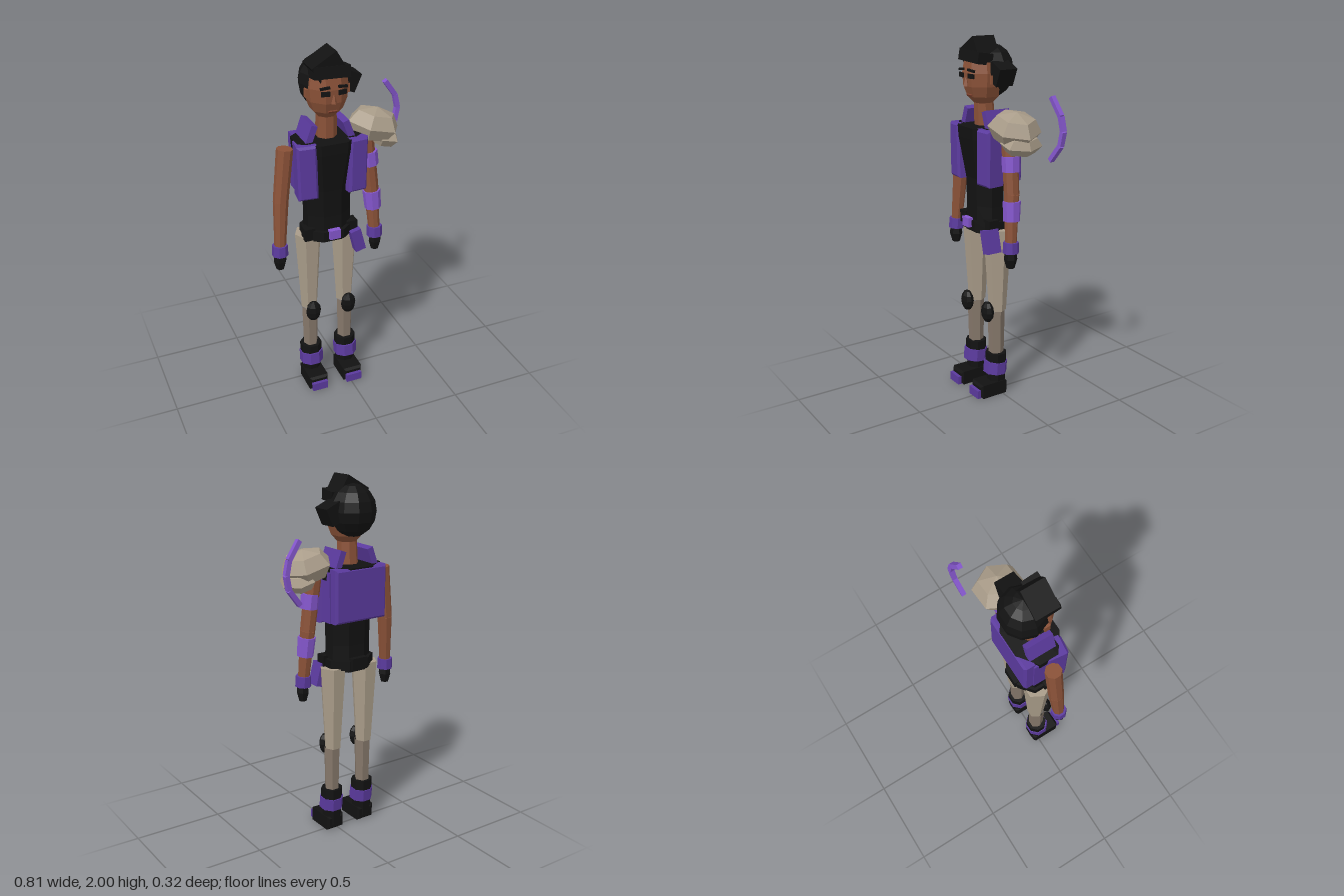
import * as THREE from 'three';

const mat = (name, color) => Object.assign(new THREE.MeshStandardMaterial({ color }), { name });
const V = (x, y, z) => new THREE.Vector3(x, y, z);
const CX = -0.09; // body midline

export function createModel() {
  const black = mat('black cloth', 0x121212);
  const purple = mat('purple', 0x5b3a9e);
  const violet = mat('bright violet', 0x8456cc);
  const skin = mat('skin', 0x8b5238);
  const lips = mat('lips', 0x7a3f2c);
  const beige = mat('beige', 0xa99c89);
  const shin = mat('dark beige', 0x85776a);

  const model = new THREE.Group();
  model.name = 'figure';

  // Faceted mesh with hard edges
  function add(name, geometry, material, pos = [0, 0, 0], rot = [0, 0, 0], scale = [1, 1, 1]) {
    const g = geometry.index ? geometry.toNonIndexed() : geometry;
    g.computeVertexNormals();
    const mesh = new THREE.Mesh(g, material);
    mesh.name = name;
    mesh.position.set(...pos);
    mesh.rotation.set(...rot);
    mesh.scale.set(...scale);
    model.add(mesh);
    return mesh;
  }
  const box = (name, m, size, pos, rot) => add(name, new THREE.BoxGeometry(...size), m, pos, rot);
  const ball = (name, m, radii, pos, rot, w = 8, h = 6) =>
    add(name, new THREE.SphereGeometry(1, w, h), m, pos, rot, radii);

  // Box with chamfered edges
  function padBox(name, m, [w, h, d], pos, rot) {
    const b = 0.012, x = w / 2 - b, y = h / 2 - b;
    const s = new THREE.Shape([[-x, -y], [x, -y], [x, y], [-x, y]].map(p => new THREE.Vector2(...p)));
    const g = new THREE.ExtrudeGeometry(s, {
      depth: d - 2 * b, bevelSize: b, bevelThickness: b, bevelSegments: 1,
    });
    g.translate(0, 0, b - d / 2);
    return add(name, g, m, pos, rot);
  }
  // Stacked rings [radius, y], listed from bottom to top
  function stack(name, m, rings, pos, sides = 8, zScale = 1) {
    const pts = rings.map(([r, y]) => new THREE.Vector2(r, y));
    return add(name, new THREE.LatheGeometry(pts, sides, Math.PI / sides), m, pos, [0, 0, 0], [1, 1, zScale]);
  }
  // Tapered prism between two points
  function limb(name, m, a, b, ra, rb, sides = 8) {
    const g = new THREE.CylinderGeometry(rb, ra, a.distanceTo(b), sides, 1, false, Math.PI / sides);
    const mesh = add(name, g, m, a.clone().lerp(b, 0.5).toArray());
    mesh.quaternion.setFromUnitVectors(V(0, 1, 0), b.clone().sub(a).normalize());
    return mesh;
  }

  // Torso and neck
  stack('torso', black, [[0, 0.95], [0.135, 0.95], [0.13, 1.1], [0.134, 1.25], [0.185, 1.47],
    [0.19, 1.53], [0, 1.535]], [CX, 0, 0.01], 8, 0.72);
  limb('neck', skin, V(CX, 1.5, 0.01), V(CX, 1.7, 0.02), 0.057, 0.052);

  // Belt, buckle and pouches
  stack('belt', black, [[0, 0.965], [0.15, 0.965], [0.15, 1.02], [0, 1.02]], [CX, 0, 0.01], 8, 0.78);
  box('buckle', violet, [0.062, 0.052, 0.03], [CX, 1.008, 0.125]);
  box('backPouch', black, [0.1, 0.065, 0.05], [CX, 1.0, -0.083]);
  for (const s of [-1, 1]) box('beltPouch', black, [0.06, 0.07, 0.06], [CX + s * 0.12, 1.0, 0.05]);
  box('hipPouch', purple, [0.06, 0.13, 0.08], [0.055, 0.922, 0.07], [0, 0, 0.25]);

  // Vest
  padBox('vestBack', purple, [0.325, 0.29, 0.07], [CX, 1.385, -0.085]);
  for (const s of [-1, 1]) {
    padBox('vestFront', purple, [0.105, 0.3, 0.115], [CX + s * 0.134, 1.38, 0.064], [0, s * 0.12, -s * 0.02]);
    box('vestSide', purple, [0.04, 0.27, 0.1], [CX + s * 0.15, 1.375, -0.02]);
    box('collar', purple, [0.035, 0.12, 0.15], [CX + s * 0.105, 1.56, 0.0], [0, 0, -s * -0.35]);
  }

  // Head and face
  stack('head', skin, [[0, 1.645], [0.052, 1.65], [0.085, 1.685], [0.106, 1.74], [0.112, 1.81],
    [0.1, 1.88], [0.05, 1.92], [0, 1.925]], [CX, 0, 0.018], 8, 1.02);
  add('nose', new THREE.CylinderGeometry(0.004, 0.016, 0.045, 4), skin, [CX, 1.765, 0.126]);
  box('mouth', lips, [0.045, 0.01, 0.008], [CX, 1.693, 0.105], [0.5, 0, 0]);
  for (const s of [-1, 1]) {
    box('eye', black, [0.045, 0.024, 0.009], [CX + s * 0.045, 1.797, 0.125], [0, s * 0.15, 0]);
    box('eyebrow', black, [0.05, 0.012, 0.012], [CX + s * 0.047, 1.826, 0.124], [0, s * 0.15, -s * 0.12]);
    box('ear', skin, [0.015, 0.045, 0.03], [CX + s * 0.11, 1.78, 0.03]);
  }

  // Hair with fringe, top tuft and side knot
  ball('hair', black, [0.128, 0.14, 0.122], [CX, 1.815, -0.03], [0, 0, 0], 10, 8);
  box('fringe', black, [0.19, 0.06, 0.09], [CX, 1.89, 0.066], [-0.15, 0, -0.04]);
  box('topTuft', black, [0.15, 0.1, 0.13], [-0.105, 1.917, 0.035], [0, 0, 0.53]);
  box('sideKnot', black, [0.09, 0.1, 0.105], [0.035, 1.81, -0.015], [0, 0, -0.42]);

  // Arms
  for (const s of [-1, 1]) {
    const at = (dx, y, z) => V(CX + s * dx, y, z);
    const shoulder = at(0.222, 1.49, 0.005), elbow = at(0.256, 1.2, 0.012), wrist = at(0.274, 0.93, 0.028);
    limb('upperArm', skin, elbow, shoulder, 0.041, 0.044);
    limb('forearm', skin, wrist, elbow, 0.031, 0.041);
    limb('wristBand', purple, at(0.276, 0.888, 0.03), at(0.275, 0.948, 0.028), 0.044, 0.042);
    stack('hand', black, [[0, 0.8], [0.022, 0.805], [0.036, 0.855], [0.03, 0.9], [0, 0.9]],
      [CX + s * 0.278, 0, 0.032], 6);
  }
  // Bands on the left arm
  limb('upperArmBand', violet, V(0.158, 1.32, 0.01), V(0.15, 1.4, 0.008), 0.049, 0.049);
  limb('forearmBand', violet, V(0.178, 1.06, 0.02), V(0.17, 1.165, 0.014), 0.045, 0.049);

  // Layered shoulder guard
  ball('shoulderGuardTop', beige, [0.145, 0.092, 0.138], [0.178, 1.547, 0.005], [0, 0, -0.25], 6, 4);
  ball('shoulderGuardLower', beige, [0.088, 0.058, 0.118], [0.232, 1.475, 0], [0, 0, -0.25], 6, 4);

  // Floating arc behind the shoulder
  const arc = [V(0.305, 1.715, -0.134), V(0.37, 1.625, -0.143), V(0.388, 1.55, -0.146),
    V(0.372, 1.475, -0.143), V(0.305, 1.39, -0.134)];
  for (let i = 1; i < arc.length; i++) limb('floatingArc', violet, arc[i], arc[i - 1], 0.018, 0.018, 4);

  // Legs and boots
  for (const s of [-1, 1]) {
    const x = CX + s * 0.105;
    stack('thigh', beige, [[0.046, 0.5], [0.074, 0.975], [0, 0.975]], [x, 0, 0.0], 6, 1.06);
    stack('shin', shin, [[0.04, 0.2], [0.046, 0.5]], [x, 0, 0.008], 6, 1.05);
    ball('kneePad', black, [0.044, 0.062, 0.033], [x, 0.5, 0.066]);
    stack('bootShaft', black, [[0, 0.03], [0.054, 0.03], [0.056, 0.13], [0.062, 0.19], [0.062, 0.248],
      [0, 0.248]], [x, 0, 0.01], 8, 0.95);
    limb('bootBand', purple, V(x, 0.125, 0.018), V(x, 0.195, 0.012), 0.067, 0.067);
    padBox('bootFoot', black, [0.11, 0.08, 0.175], [x, 0.042, 0.054]);
    box('toeCap', purple, [0.09, 0.048, 0.06], [x, 0.03, 0.131]);
  }
  return model;
}
